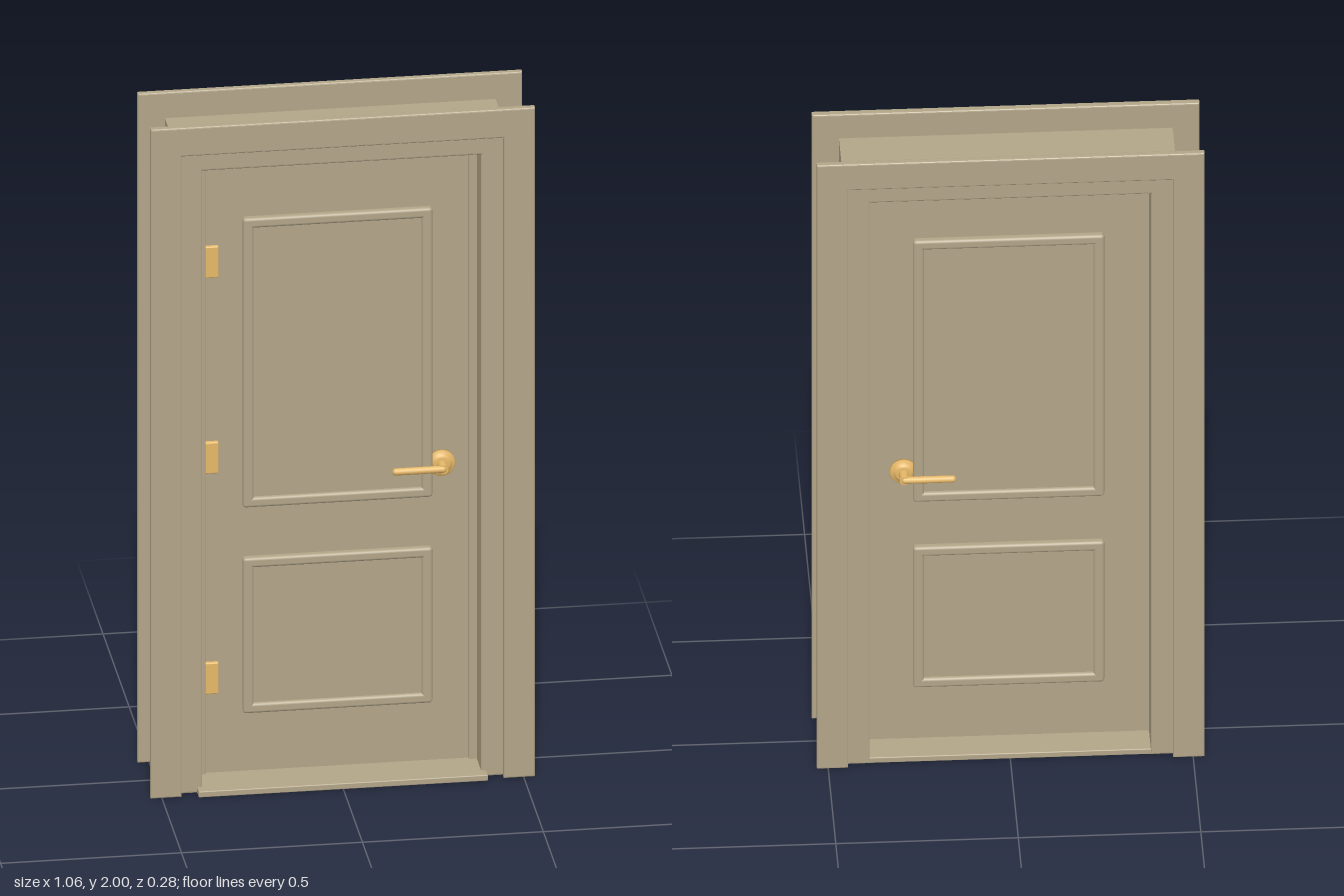
import * as THREE from 'three';
import { RoundedBoxGeometry } from 'three/addons/geometries/RoundedBoxGeometry.js';

const paint = new THREE.MeshStandardMaterial({ color: 0xb2a588 });
paint.name = 'taupe paint';
const brass = new THREE.MeshStandardMaterial({ color: 0xe6b868 });
brass.name = 'brass';

function add(parent, name, geometry, material, x = 0, y = 0, z = 0) {
  const mesh = new THREE.Mesh(geometry, material);
  mesh.name = name;
  mesh.position.set(x, y, z);
  parent.add(mesh);
  return mesh;
}

// Rounded block given by its extents on each axis
function block(parent, name, material, [x0, x1], [y0, y1], [z0, z1], r = 0.003) {
  const g = new RoundedBoxGeometry(x1 - x0, y1 - y0, z1 - z0, 3, r);
  return add(parent, name, g, material, (x0 + x1) / 2, (y0 + y1) / 2, (z0 + z1) / 2);
}

// Three-sided surround (two uprights and a head) extruded from z0 to z1
function surround(parent, name, outer, top, inner, innerTop, z0, z1, bevel) {
  const s = new THREE.Shape([
    [-outer, 0], [-inner, 0], [-inner, innerTop], [inner, innerTop],
    [inner, 0], [outer, 0], [outer, top], [-outer, top],
  ].map(([x, y]) => new THREE.Vector2(x, y)));
  const g = new THREE.ExtrudeGeometry(s, {
    depth: z1 - z0 - 2 * bevel, bevelThickness: bevel, bevelSize: bevel,
    bevelOffset: -bevel, bevelSegments: 3,
  });
  add(parent, name, g, paint, 0, 0, z0 + bevel);
}

// Raised field with a rounded moulding around it, on the face pointing along side
function panel(parent, y0, y1, face, side) {
  const span = (low, high) => [face + side * low, face + side * high].sort((a, b) => a - b);
  const z = span(-0.006, 0.02), w = 0.262, t = 0.03;
  for (const x of [[-w, -w + t], [w - t, w]]) {
    block(parent, 'panelStile', paint, x, [y0, y1], z, 0.009);
  }
  for (const y of [[y0, y0 + t], [y1 - t, y1]]) {
    block(parent, 'panelRail', paint, [-w, w], y, z, 0.009);
  }
  block(parent, 'panelField', paint, [-w + 0.015, w - 0.015], [y0 + 0.015, y1 - 0.015], span(-0.006, 0.009));
}

// Lever handle pointing to -x, projecting to +z
function leverHandle() {
  const handle = new THREE.Group();
  const rose = [[0, 0], [0.038, 0], [0.038, 0.008], [0.035, 0.011], [0.027, 0.012],
    [0.025, 0.017], [0.02, 0.02], [0, 0.02]].map(([r, h]) => new THREE.Vector2(r, h));
  add(handle, 'rosette', new THREE.LatheGeometry(rose, 32), brass).rotation.x = Math.PI / 2;
  const neck = new THREE.CylinderGeometry(0.013, 0.013, 0.05, 20);
  add(handle, 'neck', neck, brass, 0, 0, 0.028).rotation.x = Math.PI / 2;
  const lever = new THREE.CapsuleGeometry(0.01, 0.13, 6, 16);
  add(handle, 'lever', lever, brass, -0.067, 0, 0.049).rotation.z = Math.PI / 2;
  return handle;
}

export function createModel() {
  const model = new THREE.Group();
  model.name = 'door';
  const front = 0.013, back = -0.027;

  // Frame: jamb lining, stop in front of the leaf edge, casings and threshold
  surround(model, 'jamb', 0.457, 1.925, 0.385, 1.858, -0.12, 0.106, 0.006);
  surround(model, 'stop', 0.389, 1.864, 0.364, 1.835, front - 0.002, front + 0.01, 0.003);
  surround(model, 'frontCasing', 0.531, 2, 0.445, 1.914, 0.106, 0.128, 0.005);
  surround(model, 'backCasing', 0.531, 2, 0.445, 1.914, -0.138, -0.118, 0.005);
  block(model, 'threshold', paint, [-0.4, 0.4], [0, 0.018], [-0.117, 0.138]);

  // Leaf with two moulded panels on each face
  const leaf = new THREE.Group();
  leaf.name = 'leaf';
  model.add(leaf);
  block(leaf, 'slab', paint, [-0.386, 0.386], [0.016, 1.86], [back, front], 0.002);
  for (const [face, side] of [[front, 1], [back, -1]]) {
    panel(leaf, 0.81, 1.675, face, side);
    panel(leaf, 0.195, 0.66, face, side);
  }

  // Lever handles on both faces
  for (const [face, turn] of [[front, 0], [back, Math.PI]]) {
    const handle = leverHandle();
    handle.name = turn ? 'backHandle' : 'frontHandle';
    handle.position.set(0.288, 0.906, face);
    handle.rotation.x = turn;
    leaf.add(handle);
  }

  // Hinges
  for (const y of [0.303, 0.962, 1.547]) {
    block(leaf, 'hinge', brass, [-0.366, -0.328], [y - 0.047, y + 0.047], [front - 0.006, front + 0.011], 0.004);
  }
  return model;
}
